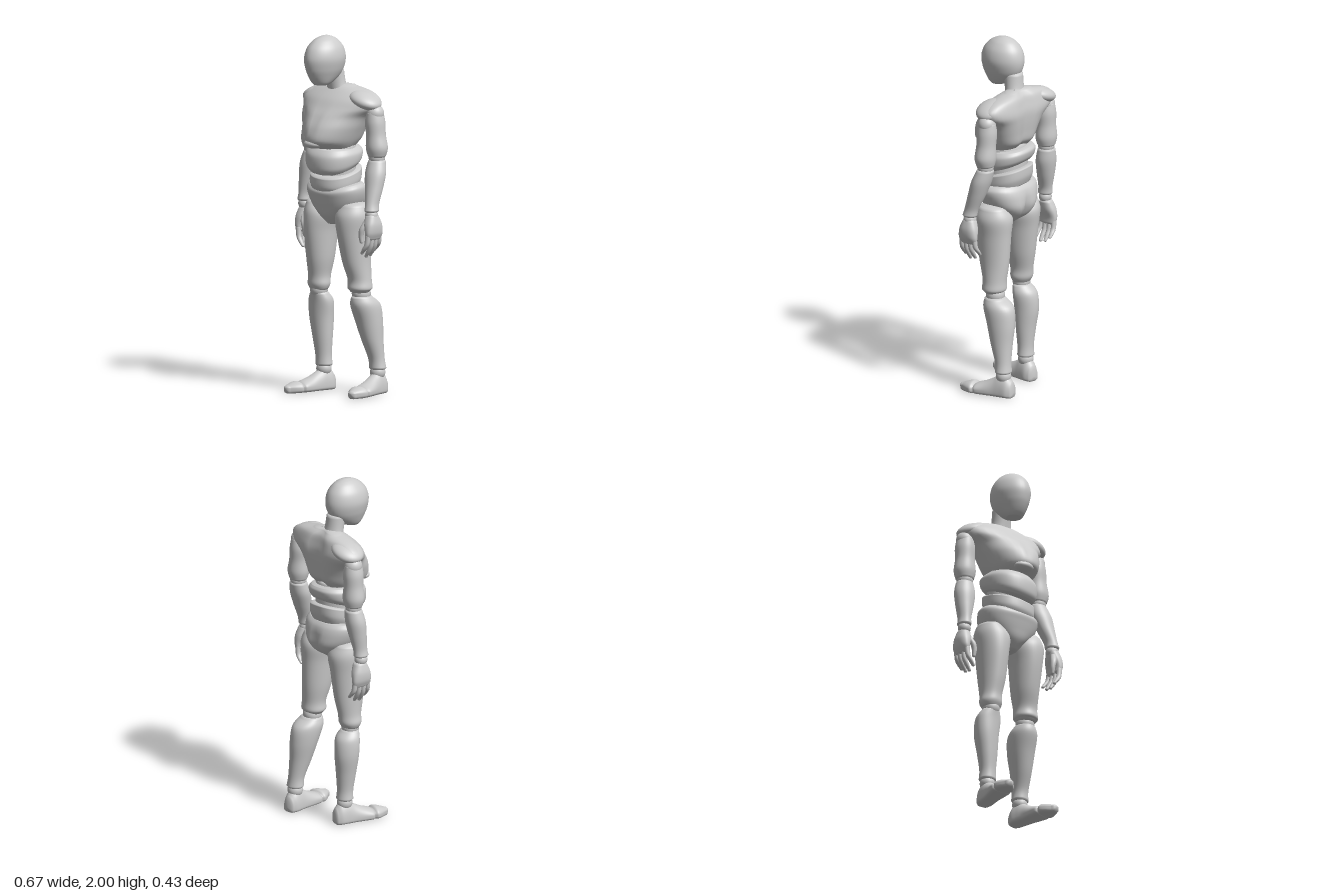
import * as THREE from 'three';

const SEG = 40;

// Smooth interpolation through rows of numbers
function refine(rows, steps = 6) {
  const out = [];
  for (let i = 0; i < rows.length - 1; i++) {
    const a = rows[Math.max(i - 1, 0)], b = rows[i], c = rows[i + 1], d = rows[Math.min(i + 2, rows.length - 1)];
    for (let k = 0; k < steps; k++) {
      const t = k / steps;
      out.push(b.map((_, n) => 0.5 * (2 * b[n] + (c[n] - a[n]) * t + (2 * a[n] - 5 * b[n] + 4 * c[n] - d[n]) * t * t
        + (3 * b[n] - a[n] - 3 * c[n] + d[n]) * t * t * t)));
    }
  }
  out.push(rows[rows.length - 1]);
  return out;
}

// Body of stacked rings. Row: [y, centreX, centreZ, radiusX, radiusFront, radiusBack]; ends get a dome
function loft(rows, { cap = 0.015, front = 2, back = 2, deform } = {}) {
  if (rows[0][0] > rows[rows.length - 1][0]) rows = [...rows].reverse();
  const rings = refine(rows);
  const dome = (r, sign) => [0.3, 0.6, 0.85, 1].map(t => {
    const s = Math.cos(t * Math.PI / 2), h = Math.sin(t * Math.PI / 2) * cap * sign;
    return [r[0] + h, r[1], r[2], r[3] * s, r[4] * s, r[5] * s];
  });
  const all = [...dome(rings[0], -1).reverse(), ...rings, ...dome(rings[rings.length - 1], 1)];
  const pos = [], index = [], v = new THREE.Vector3();
  all.forEach(([y, cx, cz, rx, rf, rb], i) => {
    for (let j = 0; j < SEG; j++) {
      const a = j / SEG * Math.PI * 2, c = Math.cos(a), s = Math.sin(a), e = 2 / (s > 0 ? front : back);
      v.set(cx + Math.sign(c) * Math.abs(c) ** e * rx, y, cz + Math.sign(s) * Math.abs(s) ** e * (s > 0 ? rf : rb));
      if (deform) deform(v, s);
      pos.push(v.x, v.y, v.z);
      if (i < all.length - 1) {
        const p = i * SEG + j, q = i * SEG + (j + 1) % SEG;
        index.push(p, p + SEG, q, q, p + SEG, q + SEG);
      }
    }
  });
  const g = new THREE.BufferGeometry();
  g.setAttribute('position', new THREE.Float32BufferAttribute(pos, 3));
  g.setIndex(index);
  g.computeVertexNormals();
  return g;
}

export function createModel() {
  const model = new THREE.Group();
  const grey = new THREE.MeshStandardMaterial({ color: 0xcccccc });
  grey.name = 'mannequin grey';

  const add = (name, geometry, parent = model) => {
    const m = new THREE.Mesh(geometry, grey);
    m.name = name;
    parent.add(m);
    return m;
  };
  const ball = (name, x, y, z, rx, ry = rx, rz = rx) => {
    const m = add(name, new THREE.SphereGeometry(1, 32, 20));
    m.position.set(x, y, z);
    m.scale.set(rx, ry, rz);
    return m;
  };
  const bump = (x, w) => Math.exp(-((x / w) ** 2));

  // Head and neck
  add('head', loft([
    [1.728, -0.04, 0.075, 0.043, 0.04, 0.045], [1.745, -0.04, 0.068, 0.058, 0.065, 0.075], [1.78, -0.04, 0.055, 0.076, 0.1, 0.108],
    [1.82, -0.04, 0.048, 0.091, 0.123, 0.127], [1.875, -0.04, 0.045, 0.101, 0.133, 0.133], [1.93, -0.04, 0.043, 0.09, 0.117, 0.118],
    [1.97, -0.04, 0.04, 0.063, 0.083, 0.084], [1.99, -0.04, 0.038, 0.037, 0.048, 0.049], [1.998, -0.04, 0.037, 0.016, 0.021, 0.021],
  ], { cap: 0.002, front: 1.85 }));
  add('neck', loft([
    [1.67, -0.03, -0.06, 0.075, 0.06, 0.06], [1.72, -0.035, -0.045, 0.058, 0.052, 0.05], [1.8, -0.04, -0.03, 0.054, 0.05, 0.056],
  ]));

  // Chest, with breastbone and spine grooves and a raised lower edge at the back
  add('chest', loft([
    [1.38, -0.01, 0, 0.115, 0.13, 0.12], [1.42, -0.01, 0, 0.14, 0.187, 0.145], [1.49, -0.012, -0.015, 0.172, 0.192, 0.14],
    [1.555, -0.015, -0.05, 0.205, 0.188, 0.113], [1.605, -0.018, -0.075, 0.262, 0.17, 0.09], [1.65, -0.018, -0.08, 0.27, 0.137, 0.077],
    [1.69, -0.02, -0.085, 0.21, 0.097, 0.06], [1.715, -0.025, -0.08, 0.1, 0.06, 0.045],
  ], {
    cap: 0.012, front: 1.85, back: 2.6, deform(v, s) {
      const x = v.x + 0.015;
      if (s < 0) {
        v.y -= 0.2 * v.z * bump(v.y - 1.36, 0.07);
        v.z += 0.022 * bump(x, 0.04) * -s;
      } else v.z -= 0.012 * bump(x, 0.022) * s * bump(v.y - 1.53, 0.09);
    },
  }));
  ball('breastboneTip', -0.03, 1.405, 0.145, 0.06, 0.026, 0.045);
  ball('leftShoulderCap', 0.175, 1.648, -0.055, 0.1, 0.045, 0.084).rotation.z = -0.3;
  ball('rightShoulderCap', -0.205, 1.648, -0.083, 0.1, 0.045, 0.086).rotation.z = 0.3;

  // Waist bands, sloping down toward the front
  add('waistCore', loft([[1.12, -0.01, -0.01, 0.12, 0.1, 0.11], [1.4, -0.015, -0.01, 0.125, 0.11, 0.11]]));
  add('upperAbdomen', loft([
    [1.272, -0.015, -0.005, 0.132, 0.135, 0.125], [1.3, -0.015, -0.005, 0.147, 0.155, 0.142],
    [1.35, -0.015, -0.005, 0.15, 0.155, 0.15], [1.38, -0.015, -0.005, 0.132, 0.13, 0.138],
  ], { front: 2.2, back: 2.4, deform(v) { v.y -= 0.3 * v.z * (1.4 - v.y) / 0.13 + 0.08 * v.x; } }));
  add('lowerAbdomen', loft([
    [1.15, -0.01, -0.01, 0.125, 0.115, 0.12], [1.19, -0.01, -0.01, 0.138, 0.135, 0.135], [1.242, -0.01, -0.01, 0.138, 0.135, 0.137],
  ], { front: 2.2, back: 2.4, deform(v) { v.y -= 0.25 * v.z + 0.08 * v.x; } }));

  // Pelvis with a cleft at the back
  add('pelvis', loft([
    [0.955, -0.01, -0.01, 0.045, 0.055, 0.06], [1.0, -0.01, -0.01, 0.1, 0.09, 0.125], [1.05, -0.01, -0.01, 0.15, 0.108, 0.155],
    [1.1, -0.01, -0.01, 0.175, 0.122, 0.152], [1.14, -0.01, -0.01, 0.18, 0.13, 0.138], [1.165, -0.01, -0.01, 0.162, 0.118, 0.118],
  ], {
    cap: 0.012, back: 2.3, deform(v, s) {
      if (s < 0) v.z += 0.035 * bump(v.x + 0.01, 0.022) * -s * bump(v.y - 1.03, 0.07);
      v.y += 0.5 * v.x * v.x - 0.12 * v.z * bump(v.y - 1.18, 0.08);
    },
  }));

  // Arms
  const arm = (side, ux, uz, ex, ez, wx, wz) => {
    ball(side + 'ShoulderJoint', ux, 1.58, uz, 0.05);
    add(side + 'UpperArm', loft([
      [1.585, ux, uz, 0.044, 0.05, 0.05], [1.53, ux, uz, 0.056, 0.057, 0.057], [1.46, (ux + ex) / 2, (uz + ez) / 2, 0.055, 0.055, 0.055],
      [1.39, ex, ez, 0.063, 0.059, 0.059], [1.345, ex, ez, 0.052, 0.05, 0.05],
    ]));
    ball(side + 'ElbowJoint', ex, 1.335, ez, 0.046);
    const mid = t => [ex + (wx - ex) * t, ez + (wz - ez) * t];
    add(side + 'Forearm', loft([
      [1.315, ...mid(0.02), 0.05, 0.046, 0.05], [1.25, ...mid(0.25), 0.061, 0.055, 0.055], [1.17, ...mid(0.55), 0.051, 0.05, 0.05],
      [1.09, ...mid(0.88), 0.036, 0.042, 0.042], [1.05, ...mid(1), 0.038, 0.043, 0.043],
    ]));
    ball(side + 'WristJoint', wx, 1.025, wz, 0.036);
  };
  arm('left', 0.237, -0.07, 0.25, -0.07, 0.287, 0.01);
  arm('right', -0.26, -0.085, -0.262, -0.085, -0.29, -0.055);

  // Hands: palm, four curled fingers, thumb; s mirrors the shape
  const hand = (side, s, x, y, z) => {
    const g = new THREE.Group();
    g.name = side + 'Hand';
    g.position.set(x, y, z);
    model.add(g);
    const r = rows => rows.map(([py, px, pz, a, b]) => [py, px * s, pz, a, b, b]);
    add('palm', loft(r([[0, 0, 0, 0.033, 0.038], [-0.045, 0.008, 0, 0.036, 0.055], [-0.09, 0.014, 0, 0.028, 0.06], [-0.12, 0.01, 0, 0.021, 0.056]]),
      { front: 2.5, back: 2.5 }), g);
    [0.095, 0.115, 0.11, 0.085].forEach((len, k) => {
      const fz = 0.044 - k * 0.029, drift = (0.5 - k / 3) * 0.012;
      add('finger' + (k + 1), loft(r([
        [-0.105, 0.012, fz, 0.016, 0.015], [-0.11 - len * 0.45, 0.006, fz + drift * 0.5, 0.015, 0.014],
        [-0.11 - len * 0.75, -0.01, fz + drift, 0.014, 0.013], [-0.11 - len, -0.028, fz + drift, 0.01, 0.01],
      ]), { cap: 0.008 }), g);
    });
    add('thumb', loft(r([[-0.025, -0.015, 0.025, 0.016, 0.016], [-0.07, -0.03, 0.045, 0.017, 0.017],
      [-0.11, -0.038, 0.048, 0.014, 0.014], [-0.145, -0.037, 0.045, 0.01, 0.01]]), { cap: 0.008 }), g);
  };
  hand('left', 1, 0.29, 1.02, 0.01);
  hand('right', -1, -0.29, 1.0, -0.062);

  // Thighs
  add('rightThigh', loft([
    [1.06, -0.14, -0.02, 0.066, 0.08, 0.085], [1.0, -0.122, -0.02, 0.096, 0.108, 0.113], [0.9, -0.125, -0.015, 0.085, 0.107, 0.107],
    [0.75, -0.128, -0.012, 0.072, 0.085, 0.09], [0.65, -0.135, -0.01, 0.06, 0.063, 0.072], [0.6, -0.137, -0.008, 0.064, 0.058, 0.068], [0.575, -0.137, -0.008, 0.056, 0.048, 0.055],
  ], { cap: 0.02 }));
  add('leftThigh', loft([
    [1.06, 0.13, -0.02, 0.07, 0.08, 0.085], [1.0, 0.12, -0.02, 0.098, 0.108, 0.113], [0.9, 0.122, -0.022, 0.086, 0.105, 0.107],
    [0.75, 0.128, -0.033, 0.074, 0.085, 0.09], [0.65, 0.14, -0.045, 0.066, 0.066, 0.07], [0.6, 0.143, -0.047, 0.07, 0.07, 0.068], [0.585, 0.143, -0.047, 0.06, 0.058, 0.055],
  ], { cap: 0.02 }));
  ball('rightKneeJoint', -0.137, 0.565, -0.01, 0.05);
  ball('leftKneeJoint', 0.145, 0.565, -0.055, 0.053);

  // Calves
  add('rightCalf', loft([
    [0.545, -0.137, -0.012, 0.056, 0.045, 0.055], [0.5, -0.141, -0.022, 0.073, 0.05, 0.08], [0.41, -0.145, -0.032, 0.07, 0.055, 0.078],
    [0.3, -0.138, -0.037, 0.058, 0.05, 0.06], [0.2, -0.133, -0.042, 0.047, 0.044, 0.046], [0.145, -0.132, -0.045, 0.05, 0.046, 0.046],
  ]));
  add('leftCalf', loft([
    [0.545, 0.147, -0.065, 0.06, 0.07, 0.055], [0.5, 0.15, -0.08, 0.076, 0.088, 0.095], [0.41, 0.157, -0.1, 0.072, 0.078, 0.088],
    [0.3, 0.169, -0.118, 0.058, 0.062, 0.066], [0.2, 0.18, -0.138, 0.046, 0.045, 0.047], [0.145, 0.184, -0.145, 0.05, 0.046, 0.046],
  ]));

  // Feet: rings stacked along the foot, laid forward and turned outward
  const foot = (side, x, z, turn) => {
    const g = new THREE.Group();
    g.name = side + 'Foot';
    g.position.set(x, 0, z);
    g.rotation.y = turn;
    model.add(g);
    const lay = (rows, cap) => loft(rows.map(([along, rx, up]) => [along, 0, -0.03, rx, 0.03, up]),
      { cap, front: 3.5, back: 2 }).rotateX(Math.PI / 2);
    add('instep', lay([[-0.055, 0.036, 0.065], [-0.03, 0.047, 0.092], [0.01, 0.048, 0.1], [0.05, 0.049, 0.076],
      [0.1, 0.055, 0.05], [0.15, 0.06, 0.032], [0.165, 0.052, 0.024]], 0.012), g);
    add('toes', lay([[0.17, 0.052, 0.024], [0.185, 0.06, 0.034], [0.215, 0.048, 0.028], [0.248, 0.026, 0.016]], 0.018), g);
  };
  foot('right', -0.133, -0.046, -0.18);
  foot('left', 0.184, -0.142, 0.18);
  ball('rightAnkleJoint', -0.132, 0.12, -0.045, 0.043);
  ball('leftAnkleJoint', 0.184, 0.12, -0.145, 0.043);

  return model;
}
